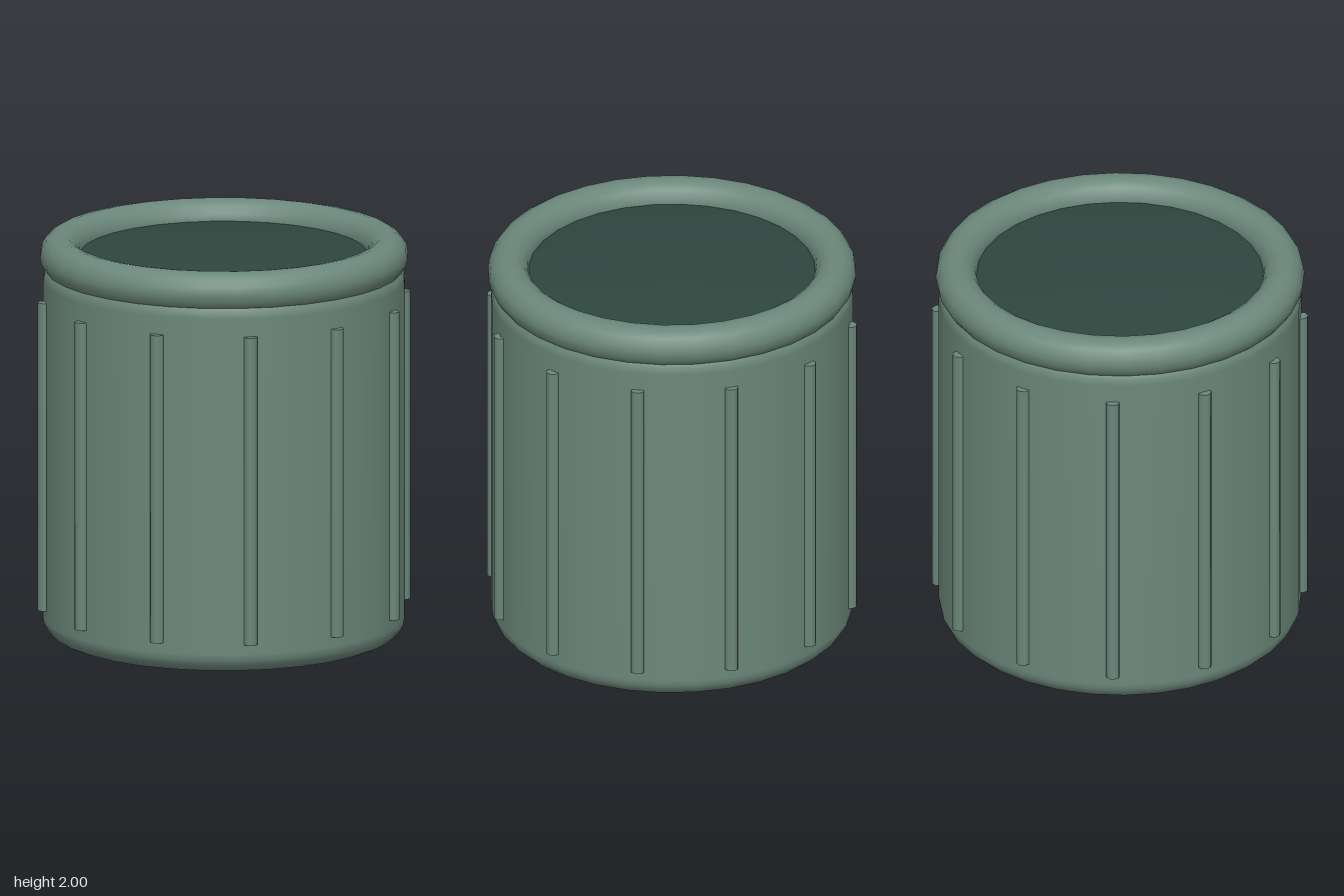
import * as THREE from 'three';

export function createModel() {
  const model = new THREE.Group();
  const green = new THREE.MeshStandardMaterial({ color: 0x6b877b });
  green.name = 'grey green';
  const dark = new THREE.MeshStandardMaterial({ color: 0x2e463f });
  dark.name = 'dark green';

  function add(name, geometry, material, parent = model) {
    const mesh = new THREE.Mesh(geometry, material);
    mesh.name = name;
    parent.add(mesh);
    return mesh;
  }

  // Drum body: a cylinder with rounded bottom and shoulder
  const radius = 0.885, top = 1.88, bevel = 0.1, steps = 5;
  const profile = [new THREE.Vector2(0, 0)];
  for (const [centreY, start] of [[bevel, -Math.PI / 2], [top - bevel, 0]]) {
    for (let i = 0; i <= steps; i++) {
      const a = start + (i / steps) * Math.PI / 2;
      profile.push(new THREE.Vector2(radius - bevel + bevel * Math.cos(a), centreY + bevel * Math.sin(a)));
    }
  }
  profile.push(new THREE.Vector2(0, top));
  add('body', new THREE.LatheGeometry(profile, 32), green);

  // Thick rolled rim
  const rim = add('rim', new THREE.TorusGeometry(0.8, 0.1, 16, 32), green);
  rim.rotation.x = Math.PI / 2;
  rim.position.y = 1.9;

  // Dark opening inside the rim, softly shaded towards its edge
  const opening = [[0.7, 1.8], [0.7, 1.905], [0, 1.905]].map(([r, y]) => new THREE.Vector2(r, y));
  add('opening', new THREE.LatheGeometry(opening, 32), dark);

  // Twelve upright ribs around the body
  const ribs = new THREE.Group();
  ribs.name = 'ribs';
  model.add(ribs);
  const ribGeometry = new THREE.CylinderGeometry(0.034, 0.034, 1.54, 8);
  for (let i = 0; i < 12; i++) {
    const a = (i / 12) * Math.PI * 2;
    const rib = add('rib', ribGeometry, green, ribs);
    rib.position.set(Math.sin(a) * radius, 0.92, Math.cos(a) * radius);
  }

  return model;
}
